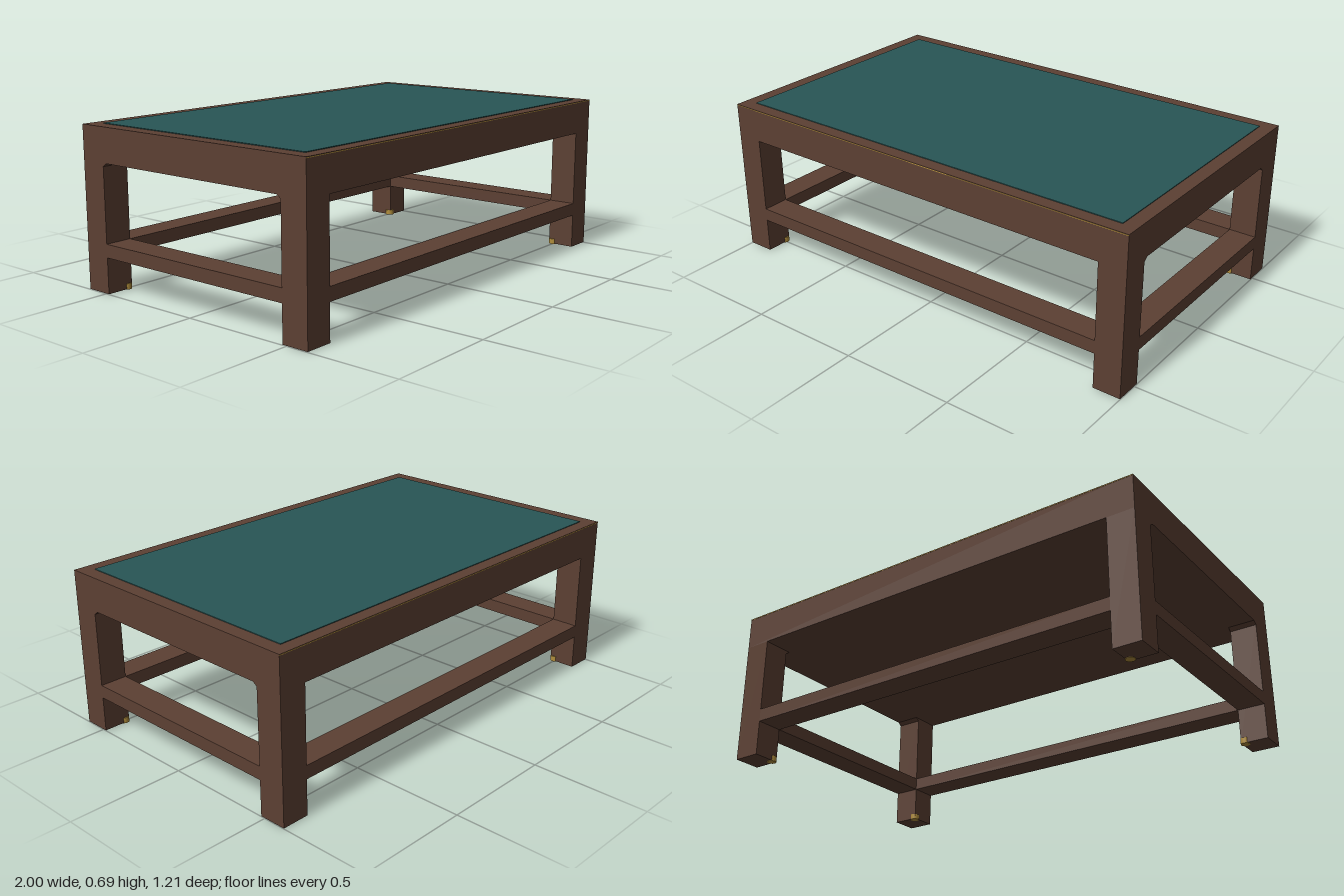
import * as THREE from 'three';

export function createModel() {
  const model = new THREE.Group();
  const wood = new THREE.MeshStandardMaterial({ color: 0x5c4033 });
  const teal = new THREE.MeshStandardMaterial({ color: 0x285555 });
  const brass = new THREE.MeshStandardMaterial({ color: 0xb08d3c });

  const W = 2, D = 1.204, LEG = 0.12, TOP = 0.692, APRON = 0.545;

  function add(name, geometry, material, x, y, z) {
    const mesh = new THREE.Mesh(geometry, material);
    mesh.name = name;
    mesh.position.set(x, y, z);
    model.add(mesh);
    return mesh;
  }
  // Box given by its bottom and top heights
  const box = (name, material, w, d, y0, y1, x = 0, z = 0) =>
    add(name, new THREE.BoxGeometry(w, y1 - y0, d), material, x, (y0 + y1) / 2, z);

  // Thick top with its inset panel
  box('tabletop', wood, W, D, APRON, TOP);
  box('inlayPanel', teal, 1.88, 1.09, TOP - 0.01, 0.695);

  // Small triangular block for the upper corners of the end openings
  const corner = new THREE.Shape();
  corner.moveTo(0, 0);
  corner.lineTo(-0.018, 0);
  corner.lineTo(0, -0.014);
  const cornerGeometry = new THREE.ExtrudeGeometry(corner, { depth: LEG, bevelEnabled: false });
  cornerGeometry.translate(0, 0, -LEG / 2);

  const legX = (W - LEG) / 2, legZ = (D - LEG) / 2;
  const footGeometry = new THREE.CylinderGeometry(0.02, 0.02, 0.025, 20);

  for (const sx of [-1, 1]) {
    // End stretcher, flush with the legs
    box('endStretcher', wood, LEG, D - 2 * LEG, 0.155, 0.212, sx * legX, 0);

    for (const sz of [-1, 1]) {
      box('leg', wood, LEG, LEG, 0.002, APRON, sx * legX, sz * legZ);
      // Brass foot set into the inner corner of the leg
      add('foot', footGeometry, brass, sx * (W / 2 - LEG + 0.014), 0.0125, sz * (D / 2 - LEG + 0.014));
      const block = add('cornerBlock', cornerGeometry, wood, sx * legX, APRON, sz * (D / 2 - LEG));
      block.rotation.y = -sz * Math.PI / 2;
    }
  }

  for (const sz of [-1, 1]) {
    box('longStretcher', wood, W - 2 * LEG, LEG, 0.155, 0.212, 0, sz * legZ);
    // Fine brass line below the top edge
    box('edgeTrim', brass, W, 0.002, 0.687, 0.69, 0, sz * D / 2);
  }
  return model;
}
